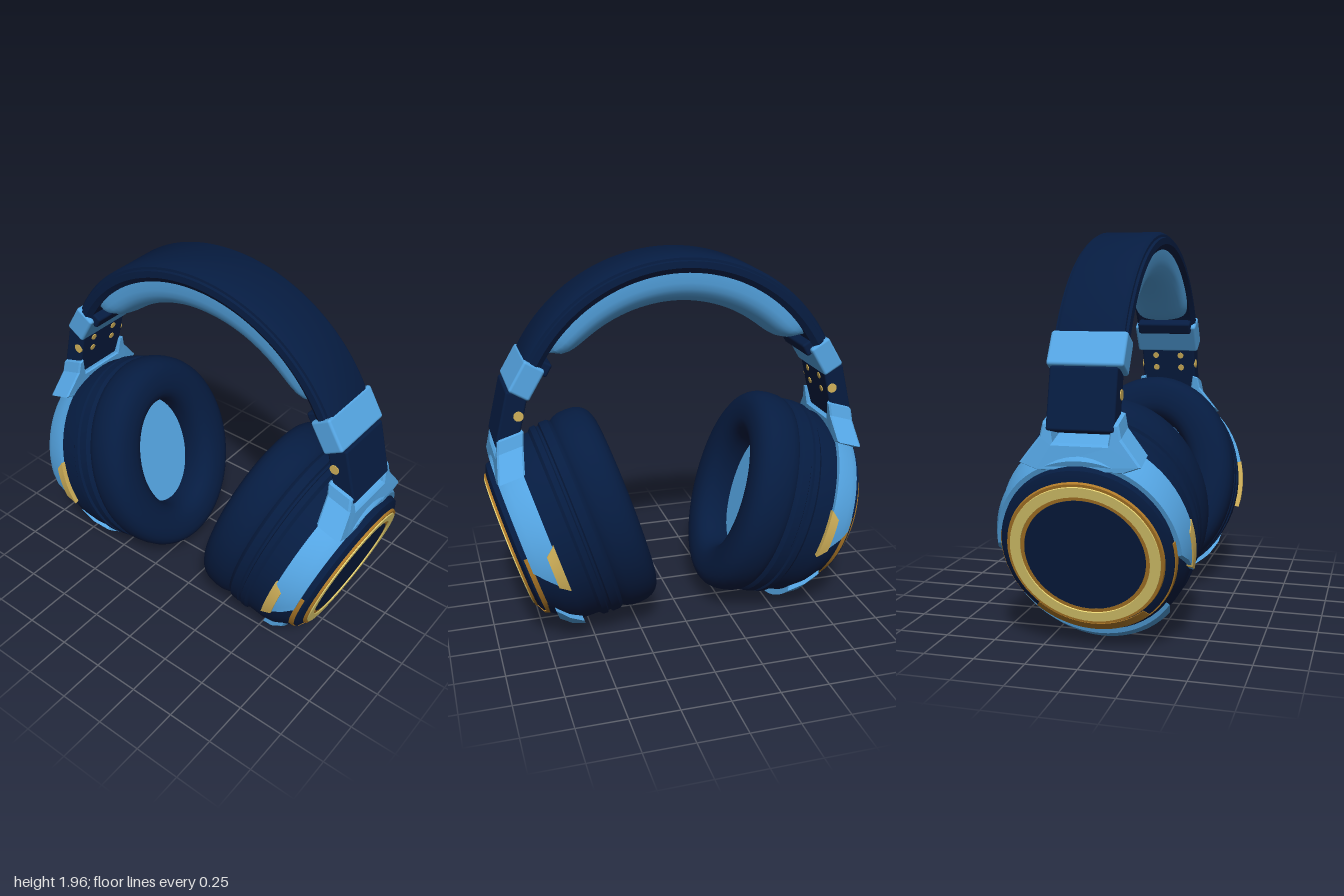
import * as THREE from 'three';
import { toCreasedNormals } from 'three/addons/utils/BufferGeometryUtils.js';
import { RoundedBoxGeometry } from 'three/addons/geometries/RoundedBoxGeometry.js';

const paint = (name, color) => {
  const m = new THREE.MeshStandardMaterial({ color });
  m.name = name;
  return m;
};

// Closed solid skinned over rings of [x, y, z] points; outward facing by volume sign.
function loft(rings, { capped = true, crease = 0.6 } = {}) {
  const n = rings[0].length;
  const rows = [...rings];
  if (capped) {
    const tip = (ring) => {
      const c = [0, 1, 2].map((k) => ring.reduce((s, p) => s + p[k], 0) / n);
      return ring.map(() => c);
    };
    rows.unshift(tip(rings[0]));
    rows.push(tip(rings[rings.length - 1]));
  }
  const tris = [];
  for (let i = 0; i < rows.length - 1; i++) {
    for (let j = 0; j < n; j++) {
      const a = i * n + j, b = i * n + (j + 1) % n;
      if (!capped || i > 0) tris.push([a, b, a + n]);
      if (!capped || i < rows.length - 2) tris.push([b, b + n, a + n]);
    }
  }
  const pts = rows.flat().map((p) => new THREE.Vector3(...p));
  const cross = new THREE.Vector3();
  const volume = tris.reduce((s, [a, b, c]) => s + cross.crossVectors(pts[b], pts[c]).dot(pts[a]), 0);
  const geo = new THREE.BufferGeometry().setFromPoints(pts);
  geo.setIndex(tris.flatMap(([a, b, c]) => (volume > 0 ? [a, b, c] : [a, c, b])));
  return toCreasedNormals(geo, crease);
}

// Point on an oval of the cup; a is measured from the top, x runs outward.
const oval = ([x, ry, rz, cy = 0], a) => [x, cy + ry * Math.cos(a), rz * Math.sin(a)];

// Solid of stacked ovals.
const stack = (profile, n = 56) =>
  loft(profile.map((p) => Array.from({ length: n }, (_, j) => oval(p, (j / n) * Math.PI * 2))));

// Closed profile swept round the oval, by degrees; shear slants the two ends.
function sector(profile, from, to, { shear = 0, n = 40, crease = 0.6 } = {}) {
  const mid = (from + to) / 2;
  const rings = Array.from({ length: n + 1 }, (_, i) => {
    const d = (i / n - 0.5) * (to - from);
    return profile.map((p) => oval(p, THREE.MathUtils.degToRad(mid + d * (1 + shear * (0.38 - p[0])))));
  });
  return loft(rings, { capped: to - from < 360, crease });
}

// Cross-section of [radius, z] swept along the headband arc.
function arch(section, limit, n = 48) {
  const rings = Array.from({ length: n + 1 }, (_, i) => {
    const t = (i / n) * 2 - 1;
    const a = THREE.MathUtils.degToRad(limit * t);
    return section(t).map(([r, z]) => [r * Math.sin(a), 1.07 + r * Math.cos(a), z]);
  });
  return loft(rings);
}

export function createModel() {
  const navy = paint('navy', 0x061c41);
  const blue = paint('sky blue', 0x55a6e4);
  const gold = paint('gold', 0xd2b25a);
  const paleGold = paint('pale gold', 0xe6d272);
  const bronze = paint('bronze', 0xb07a28);

  const model = new THREE.Group();
  model.name = 'headphones';
  const add = (parent, name, geo, mat, pos = [0, 0, 0]) => {
    const m = new THREE.Mesh(geo, mat);
    m.name = name;
    m.position.set(...pos);
    parent.add(m);
    return m;
  };

  // Headband with stepped edges
  const half = [[0.803, 0.155], [0.83, 0.175], [0.862, 0.172], [0.866, 0.16], [0.878, 0.158], [0.89, 0.138]];
  const bandSection = [...half, ...half.map(([r, z]) => [r, -z]).reverse()];
  add(model, 'headband', arch(() => bandSection, 67), navy);

  // Padding under the headband, thicker in the middle and rounded at the ends
  const padSection = (t) => {
    const end = Math.sqrt(Math.max(0.02, 1 - Math.abs(t) ** 16));
    const depth = (0.17 - 0.035 * t * t) * end;
    return Array.from({ length: 17 }, (_, k) => {
      const a = (k / 16) * Math.PI;
      return [0.81 - depth * Math.sin(a) ** 0.65, 0.152 * Math.cos(a) * (0.7 + 0.3 * end)];
    });
  };
  add(model, 'headbandPadding', arch(padSection, 56.5), blue);

  // Everything at one ear; the other is the same turned half way round
  const buildSide = (name) => {
    const side = new THREE.Group();
    side.name = name;

    // Clamp with its collar, and slider
    add(side, 'clampCollar', new RoundedBoxGeometry(0.09, 0.07, 0.31, 2, 0.012), navy, [0.703, 1.452, 0]).rotation.z = 0.52;
    add(side, 'clamp', new RoundedBoxGeometry(0.115, 0.172, 0.36, 2, 0.014), blue, [0.779, 1.397, 0]).rotation.z = 0.54;
    const slider = new THREE.Group();
    slider.name = 'slider';
    slider.position.set(0.86, 1.195, 0);
    slider.rotation.z = 0.24;
    side.add(slider);
    add(slider, 'sliderArm', new RoundedBoxGeometry(0.11, 0.29, 0.316, 2, 0.012), navy);
    const stud = new THREE.CylinderGeometry(0.025, 0.025, 0.012, 20);
    for (const s of [-1, 1]) {
      add(slider, 'edgeStud', stud, gold, [-0.028, 0.032, s * 0.156]).rotation.x = Math.PI / 2;
      for (const y of [0.015, 0.09]) {
        const m = add(slider, 'innerStud', stud, gold, [-0.053, y, s * 0.075]);
        m.rotation.z = Math.PI / 2;
        m.scale.set(0.7, 1, 0.7);
      }
    }

    // Ear cup, x running outward
    const cup = new THREE.Group();
    cup.name = 'earCup';
    cup.position.set(0.4, 0.615, 0);
    cup.rotation.z = -0.3;
    side.add(cup);

    const soften = (v) => Math.sign(v) * Math.abs(v) ** 0.8;
    const cushion = Array.from({ length: 24 }, (_, k) => {
      const a = (k / 24) * Math.PI * 2;
      const d = 0.124 * soften(Math.sin(a));
      return [-0.008 + 0.127 * soften(Math.cos(a)), 0.44 + d, 0.344 + d];
    });
    add(cup, 'cushion', sector(cushion, 0, 360, { n: 64, crease: 1.2 }), navy);
    add(cup, 'innerPad', stack([[0.03, 0.37, 0.27], [0.038, 0.37, 0.27]]), blue);

    // Housing with grooves next to the cushion, tapering to the outer rim
    add(cup, 'housing', stack([
      [0.04, 0.46, 0.37], [0.08, 0.535, 0.445], [0.1, 0.55, 0.46], [0.143, 0.55, 0.46], [0.15, 0.535, 0.45],
      [0.162, 0.535, 0.45], [0.168, 0.545, 0.463], [0.195, 0.542, 0.463], [0.21, 0.522, 0.452], [0.3, 0.515, 0.45],
      [0.36, 0.49, 0.44], [0.42, 0.44, 0.42, 0.01], [0.45, 0.425, 0.41, 0.02],
    ]), navy);
    add(cup, 'outerRim', stack([
      [0.44, 0.426, 0.412, 0.024], [0.47, 0.418, 0.407, 0.025], [0.488, 0.378, 0.375, 0.025],
    ]), navy);

    // Belt round the lower rim, widening into a lip at the bottom
    const belt = [[0.436, 0.433, 0.419], [0.46, 0.426, 0.414], [0.46, 0.4, 0.39], [0.436, 0.4, 0.39]];
    add(cup, 'rimBelt', sector(belt.map((p) => [...p, 0.023]), 80, 280), bronze);
    const lip = [[0.44, 0.43, 0.416], [0.471, 0.421, 0.411], [0.491, 0.376, 0.375], [0.47, 0.365, 0.365], [0.44, 0.4, 0.4]];
    add(cup, 'lowerRimLip', sector(lip.map((p) => [...p, 0.024]), 138, 222), bronze);

    // Ring and centre disc on the outer face
    const ring = (x0, x1, r0, r1, bevel) =>
      [[x0, r0], [x0, r1], [x1, r1 - bevel], [x1, r0 + bevel]].map(([x, r]) => [x, r, r, 0.025]);
    add(cup, 'ringEdge', sector(ring(0.478, 0.5, 0.278, 0.376, 0.008), 0, 360, { n: 64 }), bronze);
    add(cup, 'ringFace', sector(ring(0.49, 0.506, 0.302, 0.356, 0.003), 0, 360, { n: 64 }), paleGold);
    add(cup, 'centreDisc', stack([[0.482, 0.286, 0.286, 0.025], [0.501, 0.285, 0.285, 0.025]]), navy);

    // Yoke: two arms hugging the housing, and a stem leaning in to the slider
    add(cup, 'yokeArms', sector(
      [[0.31, 0.535, 0.469], [0.4, 0.507, 0.459], [0.442, 0.475, 0.44], [0.438, 0.42, 0.4], [0.31, 0.48, 0.42]],
      -95, 95, { shear: 1.4 }), blue);
    const stem = new THREE.Shape();
    const edge = [[0.135, 0.53], [0.15, 0.62], [0.168, 0.615], [0.18, 0.56], [0.27, 0.455], [0.2, 0.43]];
    [...edge, ...edge.map(([z, y]) => [-z, y]).reverse()].forEach(([z, y], i) =>
      (i ? stem.lineTo(z, y) : stem.moveTo(z, y)));
    const stemGeo = new THREE.ExtrudeGeometry(stem, {
      depth: 0.118, bevelThickness: 0.01, bevelSize: 0.008, bevelSegments: 1,
    });
    const at = stemGeo.attributes.position;
    for (let i = 0; i < at.count; i++) at.setZ(i, at.getZ(i) - 0.42 * Math.max(0, at.getY(i) - 0.44));
    stemGeo.computeVertexNormals();
    add(cup, 'yokeStem', stemGeo, blue, [0.318, 0, 0]).rotation.y = Math.PI / 2;

    // Lower guard, and tapered gold inlays at the inner edge of the arm tips
    add(cup, 'lowerGuard', sector(
      [[0.3, 0.55, 0.468], [0.36, 0.52, 0.458], [0.412, 0.465, 0.435], [0.412, 0.42, 0.4], [0.3, 0.49, 0.42]],
      129, 231, { shear: -2.5 }), blue);
    for (const a of [90, 270]) {
      add(cup, 'goldInlay', sector(
        [[0.302, 0.53, 0.474], [0.352, 0.515, 0.469], [0.352, 0.47, 0.42], [0.302, 0.48, 0.42]],
        a - 7.6, a + 7.6, { n: 8, shear: 12 }), gold);
    }
    return side;
  };

  model.add(buildSide('leftSide'));
  const right = buildSide('rightSide');
  right.rotation.y = Math.PI;
  model.add(right);
  return model;
}
